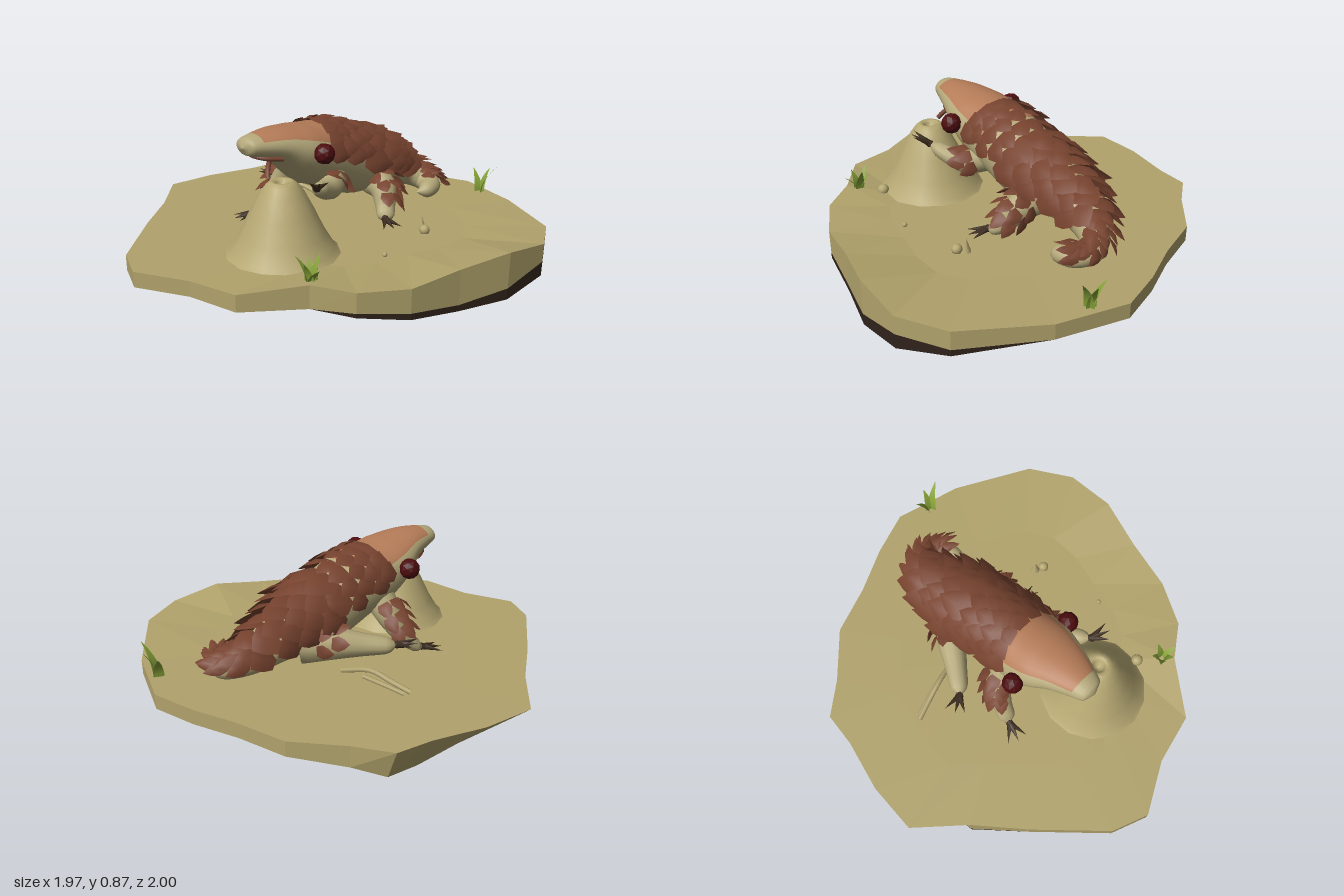
import * as THREE from 'three';
import { mergeGeometries } from 'three/addons/utils/BufferGeometryUtils.js';

const V = (x, y, z) => new THREE.Vector3(x, y, z);
const UP = V(0, 1, 0);

function material(name, color, opts = {}) {
  const m = new THREE.MeshStandardMaterial({ color, ...opts });
  m.name = name;
  return m;
}

function add(parent, name, geometry, mat, pos) {
  const mesh = new THREE.Mesh(geometry, mat);
  mesh.name = name;
  if (pos) mesh.position.copy(pos);
  parent.add(mesh);
}

// Surface swept along stations [x, y, z, halfWidth, halfHeight]
function sweep(stations) {
  const path = new THREE.CatmullRomCurve3(stations.map(s => V(s[0], s[1], s[2])));
  const radii = new THREE.CatmullRomCurve3(stations.map(s => V(s[3], s[4], 0)));
  return (u, a) => {
    const c = path.getPoint(u), r = radii.getPoint(u), t = path.getTangent(u);
    const side = UP.clone().cross(t).normalize();
    const n = t.clone().cross(side);
    const out = side.multiplyScalar(r.x * Math.sin(a)).addScaledVector(n, r.y * Math.cos(a));
    return { p: c.add(out), n: out.clone().normalize(), t, r };
  };
}

// Skin of a sweep; pick(u, a) gives the material index of each quad
function sweepGeometry(at, steps, sides, pick = () => 0) {
  const pos = [], lists = [[], []];
  for (let i = 0; i <= steps; i++)
    for (let j = 0; j < sides; j++) pos.push(...at(i / steps, j / sides * Math.PI * 2).p);
  for (let i = 0; i < steps; i++)
    for (let j = 0; j < sides; j++) {
      const k = (j + 1) % sides, a = i * sides + j, b = a + sides, c = i * sides + k, d = c + sides;
      lists[pick((i + 0.5) / steps, (j + 0.5) / sides * Math.PI * 2)].push(a, b, c, c, b, d);
    }
  const g = new THREE.BufferGeometry();
  g.setAttribute('position', new THREE.Float32BufferAttribute(pos, 3));
  g.setIndex([...lists[0], ...lists[1]]);
  g.addGroup(0, lists[0].length, 0);
  g.addGroup(lists[0].length, lists[1].length, 1);
  g.computeVertexNormals();
  return g;
}

// Domed, pointed scale lying along +z with its back to +y
function scaleGeometry() {
  const rim = [[-0.36, 0], [-0.52, 0.35], [-0.33, 0.7], [0, 1], [0.33, 0.7], [0.52, 0.35], [0.36, 0]];
  const g = new THREE.BufferGeometry();
  g.setAttribute('position', new THREE.Float32BufferAttribute([0, 0.15, 0.5, ...rim.flatMap(([x, z]) => [x, 0, z])], 3));
  g.setIndex(rim.flatMap((_, i) => [0, i + 1, (i + 1) % rim.length + 1]));
  g.computeVertexNormals();
  return g;
}
const SCALE = scaleGeometry();

function placeScale(list, s, width, length, tilt) {
  const z = s.t.clone().multiplyScalar(Math.cos(tilt)).addScaledVector(s.n, Math.sin(tilt)).normalize();
  const x = s.n.clone().cross(z).normalize(), y = z.clone().cross(x);
  const m = new THREE.Matrix4().makeBasis(x, y, z).scale(V(width, length * 0.9, length));
  m.setPosition(s.p.clone().addScaledVector(s.n, 0.005));
  list.push(SCALE.clone().applyMatrix4(m));
}

// Triangles from a flat list of points
function facets(points) {
  const g = new THREE.BufferGeometry();
  g.setAttribute('position', new THREE.Float32BufferAttribute(points.flatMap(p => [p.x, p.y, p.z]), 3));
  g.computeVertexNormals();
  return g;
}

function buildIsland(root, sand, earth) {
  // x, z, top height, colour break, lower edge, optional inset of the lower edge
  const rim = [
    [0.19, -1, .325, .25, .25], [0.52, -.89, .325, .25, .25], [0.87, -.66, .34, .25, .22], [0.98, -.44, .35, .26, .19],
    [0.96, -.18, .385, .21, .155], [0.87, .07, .36, .19, .16], [0.8, .32, .335, .22, .19], [0.67, .52, .345, .25, .23],
    [0.5, .62, .36, .25, .25], [0.3, .85, .33, .25, .25], [0.05, .89, .325, .25, .25], [-.2, 1, .325, .25, .25, .1],
    [-.37, .92, .325, .25, .25, .16], [-.62, .62, .325, .25, .25], [-.79, .39, .325, .2, .18], [-.99, .18, .325, .16, .16],
    [-.96, -.07, .325, .16, .16], [-.88, -.32, .325, .16, .16], [-.85, -.49, .325, .18, .18], [-.69, -.6, .325, .22, .22],
    [-.49, -.78, .325, .25, .25], [-.25, -.85, .325, .25, .25], [-.03, -.94, .325, .25, .25]];
  const n = rim.length, ring = k => rim.map(r => V(k > 2 ? Math.max(r[0], -0.8) : r[0], r[k], r[1]));
  const top = ring(2), mid = ring(3);
  const low = ring(4).map((p, i) => p.lerp(V(0, p.y, 0), rim[i][5] || 0));
  const keels = [V(0.18, 0.02, 0.19), V(0.37, 0, -0.07)];
  const keel = i => {
    const c = low[i % n].clone().add(low[(i + 1) % n]).multiplyScalar(0.5);
    return keels[(c.z - 0.06) * 0.26 - (c.x - 0.27) * 0.19 > 0 ? 0 : 1];
  };
  const sandy = [], dark = [], centre = V(0, 0.327, 0);
  for (let i = 0; i < n; i++) {
    const j = (i + 1) % n;
    const inI = top[i].clone().lerp(centre, 0.35).setY(0.327), inJ = top[j].clone().lerp(centre, 0.35).setY(0.327);
    sandy.push(centre, inJ, inI, inI, inJ, top[j], inI, top[j], top[i]);
    sandy.push(top[i], top[j], mid[j], top[i], mid[j], mid[i]);
    (rim[i][5] || rim[j][5] ? sandy : dark).push(mid[i], mid[j], low[j], mid[i], low[j], low[i]);
    dark.push(low[i], low[j], keel(i));
    if (keel(i) !== keel(j)) dark.push(low[j], keel(j), keel(i));
  }
  add(root, 'islandTop', facets(sandy), sand);
  add(root, 'islandUnderside', facets(dark), earth);
}

export function createModel() {
  const root = new THREE.Group();
  root.name = 'scalyAnimalOnIsland';
  const flat = { flatShading: true }, open = { side: THREE.DoubleSide };
  const sandFlat = material('groundSand', 0xb1a36c, flat);
  const sand = material('moundSand', 0xb5a772);
  const earth = material('darkEarth', 0x30231a, flat);
  const skin = material('paleSkin', 0xb4a87a);
  const cap = material('tanCrown', 0xb57c58);
  const scale = material('brownScale', 0x77432f, open);
  const eyeMat = material('darkRedEye', 0x4c0b0e, flat);
  const clawMat = material('darkClaw', 0x3c2c1e);
  const grass = material('grassGreen', 0x86a238, open);

  buildIsland(root, sandFlat, earth);

  // Ant mound with a small crater
  const mound = [[0.28, 0.315], [0.245, 0.345], [0.2, 0.42], [0.152, 0.52], [0.105, 0.61], [0.075, 0.65], [0.055, 0.667], [0.04, 0.667], [0.028, 0.655], [0.018, 0.63], [0, 0.625]];
  add(root, 'mound', new THREE.LatheGeometry(mound.map(p => new THREE.Vector2(...p)), 14), sand, V(0.12, 0, 0.4));

  // Body from snout to curled tail, with a tan crown and chest patch
  const animal = new THREE.Group();
  animal.name = 'animal';
  root.add(animal);
  const spine = [
    [-.04, .805, .492, .001, .001], [-.04, .807, .47, .06, .04], [-.035, .803, .4, .09, .057], [-.03, .79, .3, .13, .077],
    [-.03, .75, .2, .17, .115], [-.03, .705, .1, .18, .15], [-.025, .655, -.05, .177, .165], [-.02, .59, -.2, .17, .165],
    [-.02, .545, -.35, .15, .135], [-.02, .505, -.48, .115, .105], [0, .455, -.59, .085, .08], [.04, .42, -.66, .07, .063],
    [.1, .395, -.69, .062, .056], [.17, .385, -.66, .055, .05], [.19, .38, -.59, .045, .042], [.17, .375, -.54, .001, .001]];
  const last = spine.length - 1, body = sweep(spine);
  add(animal, 'body', sweepGeometry(body, 60, 24, (u, a) => {
    const k = u * last, crown = k > 1.8 && k < 6 && Math.cos(a) > 0.5;
    return crown || (k > 5.2 && k < 6.4 && Math.cos(a) < -0.85) ? 1 : 0;
  }), [skin, cap]);

  // Overlapping scale rows over the back; the inner curve of the tail stays bare
  const scales = [], rows = 20;
  for (let i = 0; i < rows; i++) {
    const k = 4.85 + i * (8 / (rows - 1)), r = body(k / last, 0).r;
    const from = k > 9.8 ? -0.6 : -1.45, to = k > 10.5 ? 1.3 : 1.45;
    const arc = (to - from) * (r.x + r.y) / 2;
    const count = Math.max(3, Math.round(arc / (i < 4 ? 0.072 : 0.095)));
    const length = i < 4 ? 0.12 : 0.06 + 0.72 * r.x;
    for (let j = 0; j < count; j++) {
      const a = from + (to - from) * (j + (i % 2 ? 0.75 : 0.25)) / count;
      placeScale(scales, body(k / last, a), arc / count * 1.45, length, 0.2 + 0.05 * ((i * 3 + j * 5) % 4));
    }
  }

  // Limbs with a few scales on the upper outer side and a fan of claws
  function limb(name, stations, side, heading, scaleRows) {
    const at = sweep(stations), end = stations[stations.length - 1];
    add(animal, name, sweepGeometry(at, 14, 12), skin);
    for (let i = 0; i < scaleRows; i++)
      for (let j = 0; j < 8; j++) {
        const s = at(0.14 + i * 0.11, (j + (i % 2) / 2) / 8 * Math.PI * 2);
        if (s.n.x * side > 0.1 && s.n.y > -0.35) placeScale(scales, s, 0.07, 0.09, 0.35);
      }
    const claws = [-0.55, 0, 0.5].map(turn => {
      const dir = heading.clone().applyAxisAngle(UP, turn).normalize();
      const g = new THREE.ConeGeometry(0.018, 0.11, 6).translate(0, 0.045, 0);
      g.applyQuaternion(new THREE.Quaternion().setFromUnitVectors(UP, dir));
      return g.translate(end[0], end[1], end[2]);
    });
    add(animal, name + 'Claws', mergeGeometries(claws), clawMat);
  }
  limb('frontLeftLeg', [[.07, .6, .03, .08, .08], [.135, .565, .09, .058, .058], [.17, .575, .17, .045, .045], [.2, .605, .24, .038, .034], [.22, .625, .28, .001, .001]], 1, V(0.4, 0.3, 0.3), 2);
  limb('frontRightLeg', [[-.12, .62, .06, .08, .08], [-.2, .53, .07, .065, .065], [-.25, .42, .12, .048, .045], [-.28, .36, .18, .042, .03], [-.295, .35, .21, .001, .001]], -1, V(-0.3, -0.12, 0.75), 3);
  limb('hindLeftLeg', [[.06, .5, -.3, .09, .09], [.15, .46, -.28, .07, .07], [.2, .385, -.24, .05, .045], [.235, .355, -.2, .042, .03], [.25, .35, -.18, .001, .001]], 1, V(0.7, -0.12, 0.3), 3);
  limb('hindRightLeg', [[-.08, .48, -.37, .09, .1], [-.18, .485, -.27, .075, .08], [-.27, .475, -.16, .055, .055], [-.345, .47, -.07, .042, .038], [-.375, .475, -.04, .001, .001]], -1, V(-0.7, 0.2, 0.4), 2);
  add(animal, 'scales', mergeGeometries(scales), scale);

  // Face
  for (const [x, name] of [[0.165, 'leftEye'], [-0.225, 'rightEye']])
    add(animal, name, new THREE.IcosahedronGeometry(0.05, 1), eyeMat, V(x, 0.75, 0.17));
  const tube = (pts, r) => new THREE.TubeGeometry(new THREE.CatmullRomCurve3(pts.map(p => V(...p))), 12, r, 6);
  add(animal, 'mouth', tube([[-.12, .738, .33], [-.08, .748, .4], [-.03, .757, .43], [.02, .748, .4], [.06, .738, .33]], 0.011), scale);
  add(animal, 'tongue', tube([[-.02, .745, .33], [0, .73, .36], [.03, .7, .4], [.05, .67, .42]], 0.012), scale);

  // Fallen stick
  add(root, 'stick', tube([[-.57, .345, -.14], [-.47, .365, -.165], [-.36, .385, -.19], [-.2, .335, -.23]], 0.013), sand);
  add(root, 'stickBranch', tube([[-.55, .335, -.16], [-.45, .345, -.185], [-.33, .35, -.21]], 0.011), sand);

  // Pebbles, one with a pointed stone beside it
  for (const [x, z, r] of [[0.465, -0.215, 0.026], [0.375, 0.48, 0.03], [0.5, 0.13, 0.012]])
    add(root, 'pebble', new THREE.IcosahedronGeometry(r, 1), sand, V(x, 0.33 + r * 0.5, z));
  add(root, 'pointedStone', new THREE.ConeGeometry(0.024, 0.07, 7), sand, V(0.43, 0.36, -0.24));

  // Bent, tapering grass blades
  function tuft(x, y, z, blades) {
    const parts = blades.map(([turn, h, bend]) => {
      const g = new THREE.PlaneGeometry(0.05, h, 1, 5).translate(0, h / 2, 0), p = g.attributes.position;
      for (let i = 0; i < p.count; i++) {
        const t = p.getY(i) / h;
        p.setX(i, p.getX(i) * (1 - 0.95 * t * t));
        p.setZ(i, bend * t * t + 0.01);
      }
      g.computeVertexNormals();
      return g.rotateY(turn).translate(x, y, z);
    });
    add(root, 'grassTuft', mergeGeometries(parts), grass);
  }
  tuft(0.33, 0.32, -0.9, [[1.9, 0.16, 0.08], [-2, 0.12, 0.06], [2.8, 0.13, 0.05]]);
  tuft(0.46, 0.34, 0.57, [[-1.2, 0.11, 0.06], [1.3, 0.08, 0.06], [0.2, 0.1, 0.04], [3, 0.12, 0.04], [-2.2, 0.09, 0.05]]);
  return root;
}
